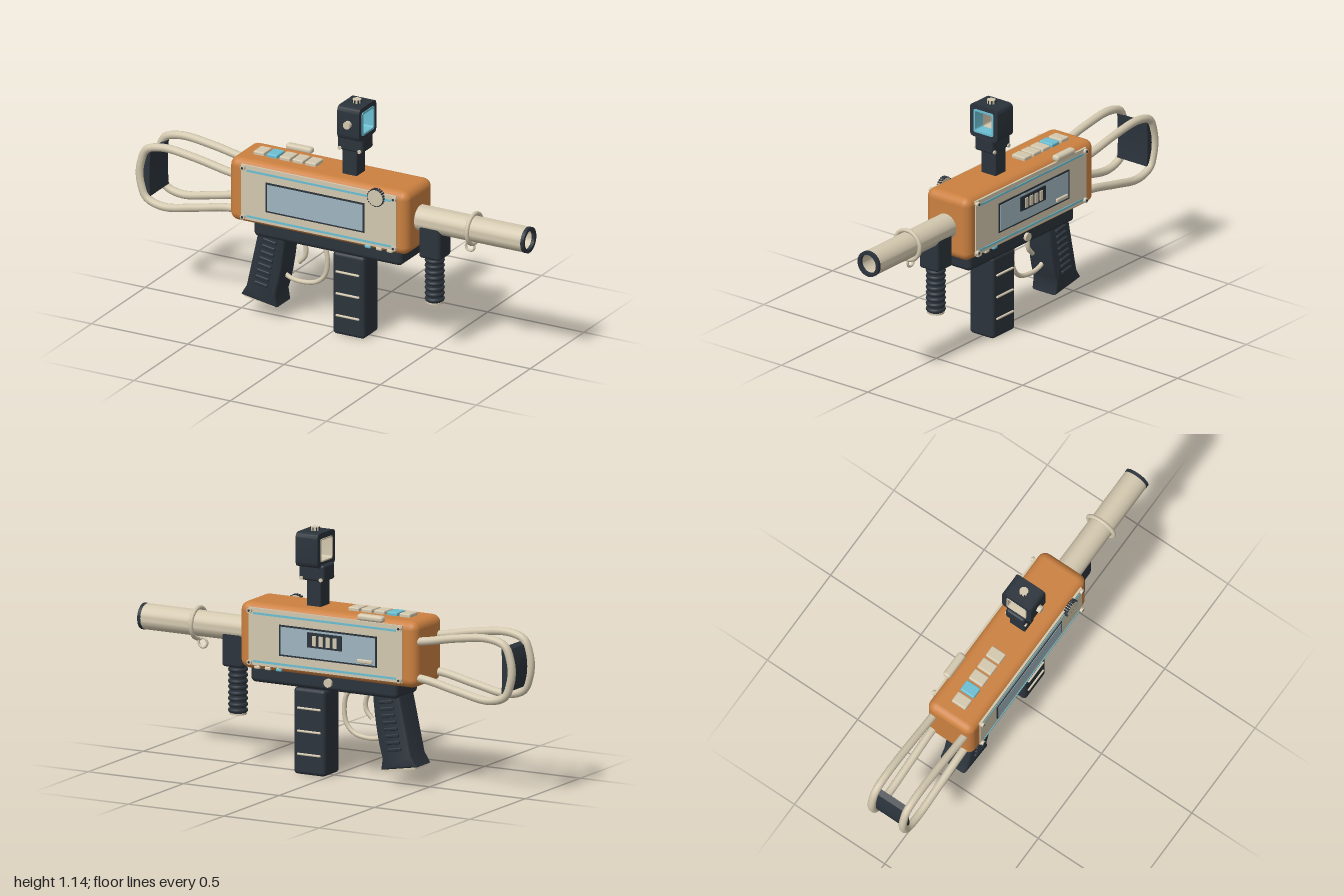
import * as THREE from 'three';
import { toCreasedNormals } from 'three/addons/utils/BufferGeometryUtils.js';
import { RoundedBoxGeometry } from 'three/addons/geometries/RoundedBoxGeometry.js';

const paint = (name, color) => {
  const m = new THREE.MeshStandardMaterial({ color });
  m.name = name;
  return m;
};

export function createModel() {
  const root = new THREE.Group();
  root.name = 'retroGadgetBlaster';
  const orange = paint('orange', 0xcb8040), cream = paint('cream', 0xd3c8af);
  const dark = paint('charcoal', 0x2b333b), cyan = paint('cyan', 0x6cbfd2);
  const glass = paint('glass', 0x9fb4bf);

  const add = (name, geo, mat, x = 0, y = 0, z = 0, parent = root) => {
    const m = new THREE.Mesh(geo, mat);
    m.name = name;
    m.position.set(x, y, z);
    parent.add(m);
    return m;
  };
  // Box given by its limits on each axis, rounded when r > 0
  const box = (name, mat, x0, x1, y0, y1, z0, z1, r = 0) => {
    const s = [x1 - x0, y1 - y0, z1 - z0];
    const g = r ? new RoundedBoxGeometry(...s, 3, r) : new THREE.BoxGeometry(...s);
    return add(name, g, mat, (x0 + x1) / 2, (y0 + y1) / 2, (z0 + z1) / 2);
  };
  const rod = (name, mat, r, len, axis, x, y, z, seg = 20) => {
    const g = new THREE.CylinderGeometry(r, r, len, seg);
    if (axis === 'x') g.rotateZ(-Math.PI / 2);
    if (axis === 'z') g.rotateX(Math.PI / 2);
    return add(name, g, mat, x, y, z);
  };
  const tube = (name, mat, pts, r, z = 0) => {
    const curve = new THREE.CatmullRomCurve3(pts.map(([x, y]) => new THREE.Vector3(x, y, z)));
    return add(name, new THREE.TubeGeometry(curve, 60, r, 12), mat);
  };
  const roundRect = (P, h, r) => {
    const p = new P();
    p.moveTo(-h + r, -h);
    p.lineTo(h - r, -h).quadraticCurveTo(h, -h, h, -h + r);
    p.lineTo(h, h - r).quadraticCurveTo(h, h, h - r, h);
    p.lineTo(-h + r, h).quadraticCurveTo(-h, h, -h, h - r);
    p.lineTo(-h, -h + r).quadraticCurveTo(-h, -h, -h + r, -h);
    return p;
  };
  // Square frame with a window, running along x from x0 to x1
  const frame = (name, mat, x0, x1, y, outer, r, inner) => {
    const s = roundRect(THREE.Shape, outer, r);
    s.holes.push(roundRect(THREE.Path, inner, 0.008));
    const g = new THREE.ExtrudeGeometry(s, { depth: x1 - x0, bevelEnabled: false, curveSegments: 6 });
    g.rotateY(Math.PI / 2);
    return add(name, toCreasedNormals(g, 0.6), mat, x0, y, 0);
  };
  // Disc with dark knurls round its rim
  const dial = (name, r, len, axis, x, y, z, n) => {
    rod(name, cream, r * 0.92, len, axis, x, y, z, 24);
    for (let i = 0; i < n; i++) {
      const a = (i / n) * Math.PI * 2, u = Math.cos(a) * r * 0.92, v = Math.sin(a) * r * 0.92;
      rod(name + 'Knurl', dark, r * 0.12, len * 0.98, axis, x + u, axis === 'z' ? y + v : y, axis === 'z' ? z : z + v, 6);
    }
  };

  // Main case and lower receiver
  box('body', orange, -0.5, 0.43, 0.476, 0.785, -0.125, 0.125, 0.04);
  box('lowerReceiver', dark, -0.385, 0.385, 0.412, 0.51, -0.1, 0.1, 0.022);

  // Side panels with screen, stripes, screws and lamps
  for (const s of [1, -1]) {
    const plate = (name, mat, x0, x1, y0, y1, z0, z1, r) =>
      box(name, mat, x0, x1, y0, y1, Math.min(s * z0, s * z1), Math.max(s * z0, s * z1), r);
    plate('sidePanel', cream, -0.43, 0.375, 0.5, 0.766, 0.12, 0.13);
    plate('screenBezel', dark, -0.3, 0.212, 0.558, 0.702, 0.125, 0.134);
    plate('screen', glass, -0.292, 0.204, 0.566, 0.694, 0.13, 0.136);
    for (const y of [0.741, 0.518]) plate('stripe', cyan, -0.4, 0.35, y - 0.005, y + 0.005, 0.128, 0.133);
    for (const x of [-0.418, 0.366]) for (const y of [0.752, 0.512]) {
      rod('screw', cream, 0.012, 0.024, 'z', x, y, s * 0.13, 12);
      rod('screwSlot', dark, 0.006, 0.002, 'z', x, y, s * 0.1425, 8);
    }
    [0.222, 0.28, 0.336].forEach((x, i) =>
      plate('lamp', i ? cream : cyan, x - 0.015, x + 0.015, 0.48, 0.496, 0.09, 0.124, 0.006));
  }
  dial('tuningDial', 0.042, 0.022, 'z', 0.275, 0.745, 0.134, 20);

  // Rear-side vent, latch, receiver pin and top lever
  box('vent', dark, -0.12, 0.06, 0.615, 0.685, -0.141, -0.13);
  for (let i = 0; i < 4; i++) {
    const x = -0.085 + i * 0.036;
    box('ventBar', cream, x - 0.01, x + 0.01, 0.625, 0.672, -0.146, -0.138);
  }
  box('latch', cream, -0.28, -0.2, 0.572, 0.59, -0.145, -0.132, 0.005);
  rod('receiverPin', cream, 0.02, 0.02, 'z', -0.03, 0.452, -0.104);
  box('sideLever', cream, -0.335, -0.2, 0.77, 0.8, -0.147, -0.108, 0.013);

  // Key row on top
  for (let i = 0; i < 5; i++) {
    const x = -0.39 + i * 0.067;
    box('topKey', i === 1 ? cyan : cream, x - 0.028, x + 0.028, 0.775, 0.801, -0.038, 0.038, 0.006);
  }

  // Sight: post, collar, windowed head and knobs
  box('sightPost', dark, 0.047, 0.122, 0.77, 0.92, -0.042, 0.042, 0.006);
  box('sightCollar', dark, 0.025, 0.157, 0.902, 0.98, -0.051, 0.051, 0.012);
  for (const x of [0.04, 0.142]) rod('collarPin', cream, 0.009, 0.114, 'z', x, 0.912, 0, 12);
  frame('sightHead', dark, 0.042, 0.156, 1.048, 0.08, 0.025, 0.05);
  frame('sightFrontRim', cyan, 0.1, 0.159, 1.048, 0.057, 0.012, 0.047);
  frame('sightRearRim', cream, 0.039, 0.1, 1.048, 0.054, 0.012, 0.048);
  rod('sightKnob', cream, 0.018, 0.022, 'z', 0.1, 1.048, 0.089);
  dial('sightTopKnob', 0.022, 0.026, 'y', 0.1, 1.132, 0, 8);

  // Hollow barrel, muzzle ring, band and sling loop
  const pipe = (name, mat, x0, x1, ro, ri) => {
    const pts = [[ri, x0], [ro, x0], [ro, x1], [ri, x1], [ri, x0]].map(p => new THREE.Vector2(...p));
    const g = new THREE.LatheGeometry(pts, 40);
    g.rotateZ(-Math.PI / 2);
    add(name, toCreasedNormals(g, 0.6), mat, 0, 0.631, 0);
  };
  pipe('barrel', cream, 0.42, 0.986, 0.06, 0.046);
  pipe('muzzleRing', dark, 0.982, 0.998, 0.061, 0.045);
  add('barrelBand', new THREE.TorusGeometry(0.071, 0.01, 12, 40).rotateY(Math.PI / 2), cream, 0.71, 0.631, 0);
  add('slingLoop', new THREE.TorusGeometry(0.022, 0.006, 8, 24), cream, 0.688, 0.541, 0);

  // Foregrip
  box('foregripMount', dark, 0.449, 0.56, 0.455, 0.634, -0.055, 0.055, 0.014);
  rod('foregrip', dark, 0.038, 0.23, 'y', 0.504, 0.352, 0, 24);
  for (let i = 0; i < 8; i++) {
    add('foregripRib', new THREE.TorusGeometry(0.036, 0.01, 8, 28).rotateX(Math.PI / 2), dark, 0.504, 0.25 + i * 0.027, 0);
  }
  rod('foregripCap', cream, 0.04, 0.008, 'y', 0.504, 0.234, 0, 24);

  // Magazine with grip strips
  box('magazine', dark, 0.01, 0.176, 0.002, 0.405, -0.07, 0.07, 0.018);
  box('magazineNeck', dark, 0.025, 0.161, 0.38, 0.43, -0.06, 0.06);
  for (const y of [0.312, 0.205, 0.098]) {
    box('magazineStrip', cream, 0.03, 0.152, y - 0.005, y + 0.005, -0.078, 0.078, 0.004);
  }

  // Pistol grip
  const grip = new THREE.Shape();
  grip.moveTo(-0.365, 0.44);
  grip.lineTo(-0.43, 0.145);
  grip.lineTo(-0.456, 0.105);
  grip.lineTo(-0.29, 0.077);
  grip.lineTo(-0.298, 0.125);
  grip.quadraticCurveTo(-0.262, 0.23, -0.245, 0.44);
  const gripGeo = new THREE.ExtrudeGeometry(grip, {
    depth: 0.11, bevelThickness: 0.014, bevelSize: 0.009, bevelSegments: 3, curveSegments: 8,
  }).translate(0, 0, -0.055);
  add('pistolGrip', toCreasedNormals(gripGeo, 0.7), dark);
  for (const s of [1, -1]) for (let i = 0; i < 8; i++) {
    const slat = add('gripSlat', new RoundedBoxGeometry(0.07, 0.016, 0.02, 2, 0.005), dark,
      -0.312 - i * 0.0065, 0.39 - i * 0.031, s * 0.07);
    slat.rotation.z = -0.16;
  }
  add('gripCap', new THREE.BoxGeometry(0.165, 0.008, 0.11), cream, -0.375, 0.079, 0).rotation.z = -0.167;

  // Trigger and its guard
  tube('trigger', cream, [[-0.195, 0.42], [-0.168, 0.375], [-0.168, 0.325], [-0.2, 0.285]], 0.011);
  tube('triggerGuard', cream, [[-0.12, 0.42], [-0.07, 0.39], [-0.053, 0.325], [-0.065, 0.25],
    [-0.11, 0.207], [-0.19, 0.193], [-0.25, 0.203], [-0.285, 0.225]], 0.011);

  // Twin wire stock with butt pad
  for (const z of [0.086, -0.086]) {
    tube('stockWire', cream, [[-0.46, 0.688], [-0.54, 0.7], [-0.7, 0.73], [-0.86, 0.745], [-0.945, 0.72],
      [-0.972, 0.66], [-0.98, 0.602], [-0.972, 0.545], [-0.945, 0.485], [-0.86, 0.457],
      [-0.7, 0.483], [-0.54, 0.517], [-0.46, 0.525]], 0.019, z);
  }
  const pad = new THREE.Shape();
  pad.moveTo(-0.925, 0.71);
  pad.lineTo(-0.953, 0.7);
  pad.quadraticCurveTo(-0.99, 0.6, -0.953, 0.505);
  pad.lineTo(-0.925, 0.495);
  pad.quadraticCurveTo(-0.935, 0.6, -0.925, 0.71);
  const padGeo = new THREE.ExtrudeGeometry(pad, { depth: 0.172, bevelEnabled: false, curveSegments: 12 });
  add('buttPad', toCreasedNormals(padGeo, 0.6), dark, 0, 0, -0.086);

  return root;
}
